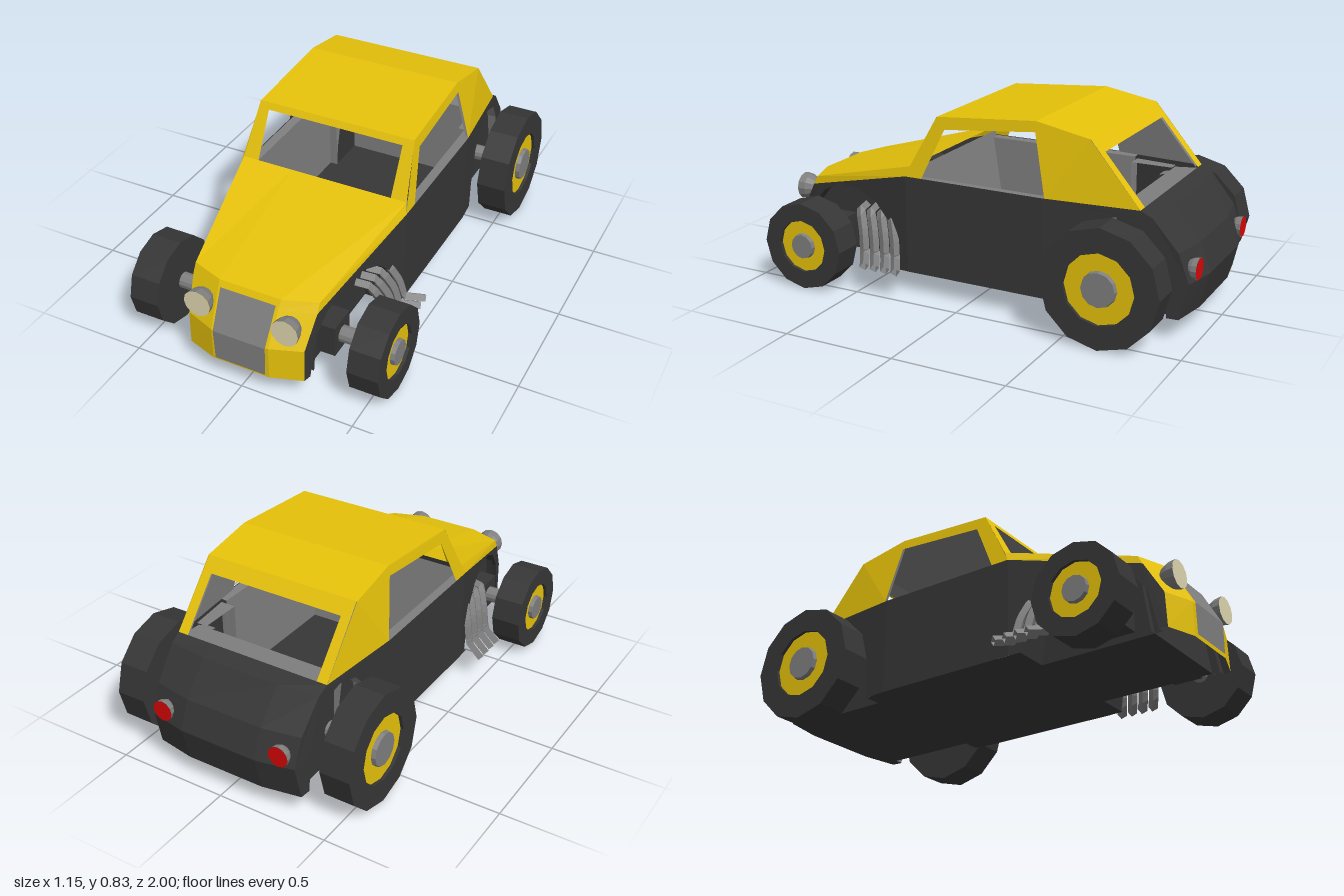
import * as THREE from 'three';

const mat = (name, color) => {
  const m = new THREE.MeshStandardMaterial({ color, side: THREE.DoubleSide });
  m.name = name;
  return m;
};

export function createModel() {
  const car = new THREE.Group();
  car.name = 'hotRod';
  const yellow = mat('yellowPaint', 0xe6c20a), black = mat('blackPaint', 0x363636);
  const grey = mat('greyMetal', 0x7f7f7f), cream = mat('lampGlass', 0xdfd7b0), red = mat('redLamp', 0xd80606);

  const add = (name, geo, m, pos = [0, 0, 0]) => {
    const g = geo.index ? geo.toNonIndexed() : geo;
    g.computeVertexNormals();
    const mesh = new THREE.Mesh(g, m);
    mesh.name = name;
    mesh.position.set(...pos);
    car.add(mesh);
  };

  // Skin through rows of [x, y, z]; symmetric rows list the half from the centre outward
  const skin = (name, rows, m, mirror = true) => {
    const full = rows.map(r => mirror ? [...r.map(([x, y, z]) => [-x, y, z]).reverse(), ...r] : r);
    const n = full[0].length, idx = [];
    for (let i = 0; i < full.length - 1; i++) for (let j = 0; j < n - 1; j++) {
      const a = i * n + j, b = a + n;
      idx.push(a, b, a + 1, a + 1, b, b + 1);
    }
    const g = new THREE.BufferGeometry();
    g.setAttribute('position', new THREE.Float32BufferAttribute(full.flat(2), 3));
    g.setIndex(idx);
    add(name, g, m);
  };

  // Flat outline placed in space by a rule (u, v) -> [x, y, z]
  const sheet = (name, pts, rule, m) => {
    const g = new THREE.ShapeGeometry(new THREE.Shape(pts.map(p => new THREE.Vector2(...p))));
    const p = g.attributes.position;
    for (let i = 0; i < p.count; i++) p.setXYZ(i, ...rule(p.getX(i), p.getY(i)));
    add(name, g, m);
  };

  // Half width of the body by z, narrowing toward the roof
  const plan = [[-1, 0.34], [-0.93, 0.35], [-0.77, 0.362], [-0.35, 0.4], [0.3, 0.397], [0.86, 0.285], [0.95, 0.264], [1, 0.13]];
  const lerp = THREE.MathUtils.lerp;
  const width = (z, y) => {
    let i = 0;
    while (i < plan.length - 2 && z > plan[i + 1][0]) i++;
    const [z0, w0] = plan[i], [z1, w1] = plan[i + 1];
    const w = lerp(w0, w1, (z - z0) / (z1 - z0));
    return y > 0.53 ? lerp(w, 0.357, (y - 0.53) / 0.3) : w;
  };
  const sides = (name, pts, m, inset = 0) => {
    for (const s of [1, -1]) sheet(name, pts, (z, y) => [s * (width(z, y) - inset), y, z], m);
  };

  // Lower body sides with wheel arches
  const base = 0.096;
  const frontArch = [[0.915, base], [0.88, 0.27], [0.8, 0.37], [0.7, 0.42], [0.58, 0.42], [0.48, 0.38], [0.4, 0.3], [0.36, base]];
  const rearArch = [[-0.45, base], [-0.46, 0.22], [-0.5, 0.38], [-0.58, 0.47], [-0.68, 0.495], [-0.78, 0.46], [-0.84, 0.37], [-0.87, 0.25], [-0.88, base]];
  const tailEdge = [[-0.93, base], [-0.965, 0.25], [-0.92, 0.375], [-0.81, 0.505], [-0.76, 0.53]];
  const noseEdge = [[0.867, 0.385], [0.945, 0.245], [0.95, base]];
  sides('doorSide', [[-0.35, base], [0.3, base], [0.3, 0.53], [-0.35, 0.53]], black);
  sides('frontFenderSide', [[0.3, base], [0.3, 0.53], ...noseEdge, ...frontArch], black);
  sides('rearFenderSide', [[-0.35, 0.53], [-0.35, base], ...rearArch, ...tailEdge], black);

  // Arch linings and the walls behind them
  const lining = (name, arch, inner, m) => {
    for (const s of [1, -1]) {
      skin(name, arch.map(([z, y]) => [[s * inner, y, z], [s * width(z, y), y, z]]), m, false);
      sheet(name + 'Wall', arch, (z, y) => [s * inner, y, z], black);
    }
  };
  lining('frontArch', frontArch, 0.24, black);
  lining('rearArch', rearArch, 0.315, grey);

  // Underside, open behind the nose
  const floorZ = [[0.24, 0.88], [0.24, 0.36], [0.395, 0.36], [0.4, -0.35], [0.39, -0.45], [0.315, -0.45], [0.315, -0.88]];
  skin('floorPan', floorZ.map(([x, z]) => [[x, base, z]]), black);
  skin('radiatorWall', [[[0.27, base, 0.88]], [[0.27, 0.38, 0.84]]], black);
  skin('tailUnderside', [[[0.18, base, -0.96], [0.35, base, -0.93]], [[0.18, base, -0.88], [0.354, base, -0.88]]], black);

  // Tail
  const tailCentre = [-0.96, -0.998, -0.95, -0.83, -0.76];
  skin('tail', tailEdge.map(([z, y], i) => [[0.18, y, tailCentre[i]], [width(z, y), y, z]]), black);

  // Hood, its side bands and the nose
  skin('hood', [[[0.15, 0.575, 0.28], [0.387, 0.575, 0.28]], [[0.14, 0.425, 0.895], [0.283, 0.425, 0.845]]], yellow);
  for (const s of [1, -1]) skin('hoodSide', [
    [[s * 0.387, 0.575, 0.28], [s * 0.283, 0.425, 0.845]],
    [[s * 0.397, 0.53, 0.3], [s * width(0.867, 0.385), 0.385, 0.867]]], yellow, false);
  skin('nose', [
    [[0.14, 0.425, 0.895], [0.283, 0.425, 0.845]],
    [[0.137, 0.385, 0.917], [width(0.867, 0.385), 0.385, 0.867]],
    [[0.13, 0.245, 0.994], [width(0.945, 0.245), 0.245, 0.945]],
    [[0.13, base, 0.994], [0.264, base, 0.95]]], yellow);
  skin('grille', [[[0.126, 0.403, 0.914]], [[0.119, 0.245, 1]], [[0.115, 0.108, 1]]], grey);

  // Cabin: pillars, quarter panels, roof and window frames, with grey lining inside
  const pillar = [[0.3, 0.53], [0.28, 0.575], [0.16, 0.8], [-0.3, 0.835], [-0.3, 0.79], [0.12, 0.75], [0.22, 0.53]];
  const quarter = [[-0.36, 0.53], [-0.3, 0.79], [-0.3, 0.835], [-0.54, 0.79], [-0.76, 0.53]];
  const roof = [[0.16, 0.8], [-0.3, 0.835], [-0.54, 0.79]];
  const roofSkin = (name, m, drop) =>
    skin(name, roof.map(([z, y]) => [[width(z, y) - drop, y - drop, z]]), m);
  sides('pillar', pillar, yellow);
  sides('quarterPanel', quarter, yellow);
  sides('quarterLining', quarter, grey, 0.012);
  roofSkin('roof', yellow, 0);
  roofSkin('headliner', grey, 0.012);
  const frame = (wb, yb, wt, yt, hole, top) => [[-wb, yb], [-wt, yt], [wt, yt], [wb, yb], [hole, yb], [hole, top], [-hole, top], [-hole, yb]];
  sheet('windshieldFrame', frame(0.387, 0.575, 0.362, 0.8, 0.315, 0.772),
    (x, y) => [x, y, lerp(0.28, 0.16, (y - 0.575) / 0.225)], yellow);
  for (const [name, m, dz] of [['rearWindowFrame', yellow, 0], ['rearFrameLining', grey, 0.012]])
    sheet(name, frame(0.362, 0.53, 0.357, 0.79, 0.315, 0.735),
      (x, y) => [x, y, lerp(-0.76, -0.54, (y - 0.53) / 0.26) + dz], m);

  // Interior tub with flat sills and a full-width rear shelf
  skin('cabinFloor', [[[0.35, 0.125, 0.21]], [[0.35, 0.125, -0.45]], [[0.315, 0.125, -0.45]], [[0.315, 0.125, -0.64]]], black);
  skin('firewall', [[[0.385, 0.555, 0.28]], [[0.35, 0.125, 0.21]]], grey);
  skin('rearShelf', [[[0.355, 0.515, -0.76]], [[0.355, 0.505, -0.64]], [[0.315, 0.125, -0.64]]], grey);
  for (const s of [1, -1]) {
    skin('sillAndInnerDoor', [0.28, -0.35, -0.45].map(z => [
      [s * (width(z, 0.53) - 0.002), 0.528, z], [s * 0.355, 0.526, z], [s * 0.35, 0.125, Math.min(z, 0.21)]]), grey, false);
    skin('archCover', [
      [[s * 0.315, 0.51, -0.64], [s * 0.365, 0.51, -0.64]],
      [[s * 0.315, 0.51, -0.448], [s * 0.385, 0.51, -0.448]],
      [[s * 0.315, 0.125, -0.448], [s * 0.385, 0.125, -0.448]]], grey, false);
  }

  // Wheels with rim, hub and axle
  const wheel = (name, s, z, r, rim, hub, x0, x1) => {
    const turn = (part, pts, m) => {
      const g = new THREE.LatheGeometry(pts.map(([pr, px]) => new THREE.Vector2(pr, px)), 12);
      g.rotateZ(-s * Math.PI / 2);
      add(name + part, g, m, [0, r, z]);
    };
    turn('Tire', [[0, x0], [r, x0], [r, x1], [rim, x1], [rim, x1 - 0.015]], black);
    turn('Rim', [[rim, x1 - 0.015], [0, x1 - 0.015]], yellow);
    turn('Hub', [[hub, x1 - 0.015], [hub * 0.95, x1 + 0.004], [0, x1 + 0.004]], grey);
    turn('Axle', [[0.036, 0.24], [0.036, x0]], grey);
  };
  for (const s of [1, -1]) {
    wheel('frontWheel', s, 0.73, 0.196, 0.118, 0.057, 0.437, 0.572);
    wheel('rearWheel', s, -0.675, 0.255, 0.152, 0.076, 0.435, 0.57);
    add('axleMount', new THREE.BoxGeometry(0.09, 0.14, 0.13), black, [s * 0.275, 0.195, 0.73]);

    // Exhaust headers
    for (let i = 0; i < 4; i++) {
      const z = 0.57 - i * 0.053;
      const path = new THREE.CurvePath();
      const p = [[0.3, 0.335, z], [0.36, 0.33, z - 0.01], [0.395, 0.24, z - 0.045], [0.415, 0.145, z - 0.06], [0.495, 0.125, z - 0.11]]
        .map(([x, y, pz]) => new THREE.Vector3(s * x, y, pz));
      for (let k = 0; k < 4; k++) path.add(new THREE.LineCurve3(p[k], p[k + 1]));
      add('exhaustPipe', new THREE.TubeGeometry(path, 12, 0.021, 4), grey);
    }

    // Lamps: domed housing behind a flat lens
    const lamp = (name, x, y, z, r, depth, dir, m) => {
      const dome = new THREE.SphereGeometry(r, 12, 4, 0, Math.PI * 2, 0, Math.PI / 2);
      dome.rotateX(-dir * Math.PI / 2).scale(1, 1, depth / r);
      add(name + 'Housing', dome, grey, [s * x, y, z]);
      const lens = new THREE.CircleGeometry(r, 12);
      if (dir < 0) lens.rotateY(Math.PI);
      add(name + 'Lens', lens, m, [s * x, y, z + dir * 0.001]);
    };
    lamp('headlight', 0.198, 0.34, 0.98, 0.061, 0.085, 1, cream);
    lamp('taillight', 0.283, 0.3, -0.985, 0.046, 0.06, -1, red);
  }
  return car;
}
